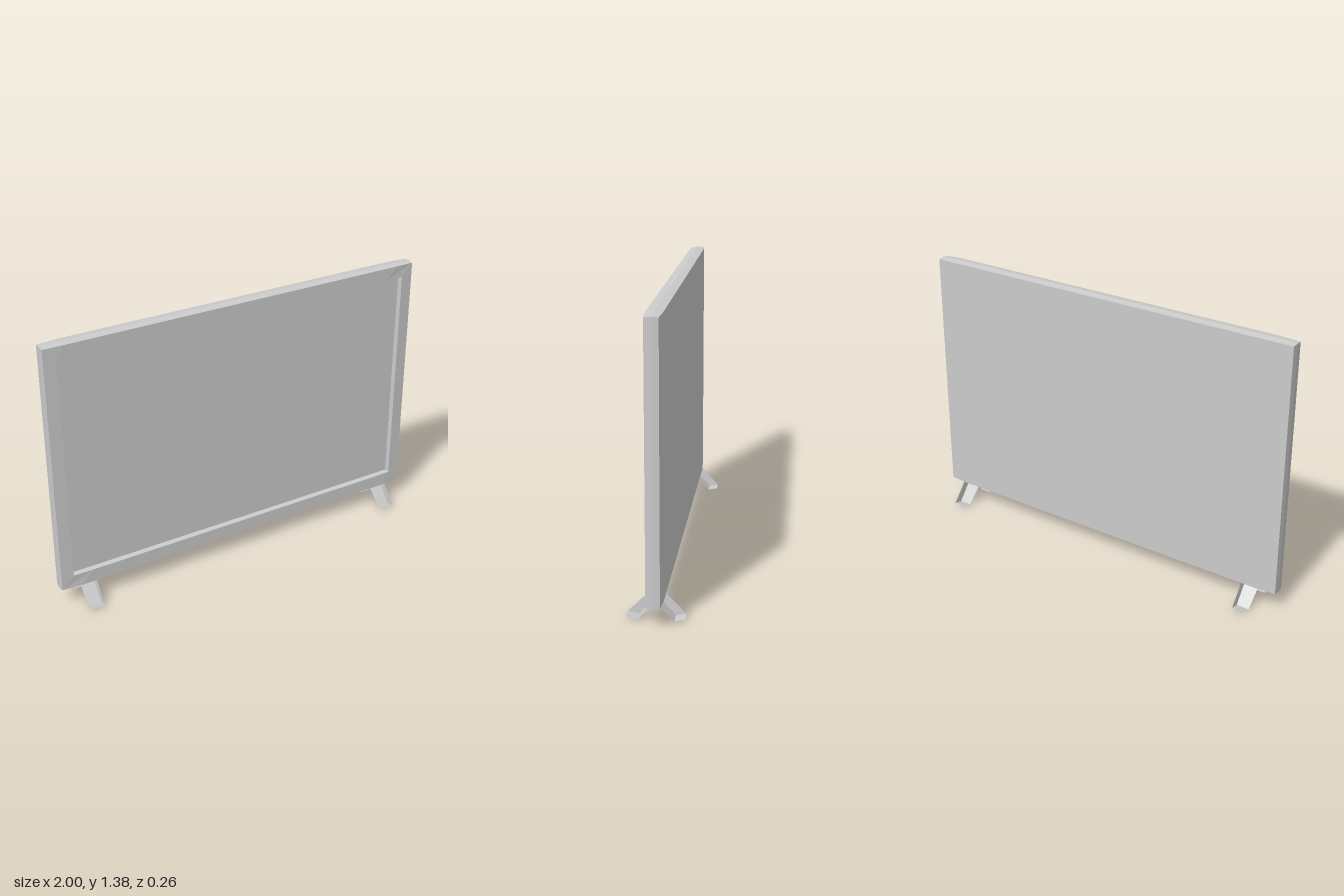
import * as THREE from 'three';

const material = new THREE.MeshStandardMaterial({ color: 0xcccccc, flatShading: true });

function meshFrom(points, quads, name) {
  const position = [];
  for (const [a, b, c, d] of quads)
    for (const i of [a, b, c, a, c, d]) position.push(...points[i]);
  const geometry = new THREE.BufferGeometry();
  geometry.setAttribute('position', new THREE.Float32BufferAttribute(position, 3));
  geometry.computeVertexNormals();
  const mesh = new THREE.Mesh(geometry, material);
  mesh.name = name;
  return mesh;
}

// Eight-point rectangular loop, counter-clockwise from the front;
// the corners sit at zEnd, the points near x = +-0.9 at zMid.
function ring(halfWidth, bottom, top, zMid, zEnd, bulge = 0) {
  const inner = halfWidth - 0.1;
  return [
    [-halfWidth, bottom, zEnd], [-inner, bottom - bulge, zMid],
    [inner, bottom - bulge, zMid], [halfWidth, bottom, zEnd],
    [halfWidth, top, zEnd], [inner, top + bulge, zMid],
    [-inner, top + bulge, zMid], [-halfWidth, top, zEnd],
  ];
}

// Thin panel with a recessed screen, lofted from the back to the screen
function createPanel() {
  const rings = [
    ring(0.998, 0.1, 1.368, -0.038, -0.032, 0.002), // back edge
    ring(1, 0.094, 1.371, 0, 0, 0.004),             // ridge around the rim
    ring(0.998, 0.1, 1.368, 0.037, 0.031, 0.002),   // front edge
    ring(0.936, 0.165, 1.305, 0.037, 0.035),        // bezel opening
    ring(0.932, 0.168, 1.302, 0.01, 0.01),          // screen edge
  ];
  const points = rings.flat();
  const quads = [];
  for (let r = 0; r < rings.length - 1; r++)
    for (let i = 0; i < 8; i++) {
      const a = r * 8 + i, b = r * 8 + (i + 1) % 8;
      quads.push([a, b, b + 8, a + 8]);
    }
  const last = (rings.length - 1) * 8;
  const screenQuads = [];
  for (const q of [[0, 1, 6, 7], [1, 2, 5, 6], [2, 3, 4, 5]]) {
    screenQuads.push(q.map(i => i + last));
    quads.push([...q].reverse()); // back cover
  }
  const group = new THREE.Group();
  group.name = 'panel';
  group.add(meshFrom(points, quads, 'casing'), meshFrom(points, screenQuads, 'screen'));
  return group;
}

// Splayed, slightly tapered leg leaning to +z
function createLeg(name) {
  const profile = [[0, 0.09], [0.083, 0], [0.13, 0.01], [0.036, 0.107]]; // z, y
  const half = [0.037, 0.032, 0.032, 0.037];
  const points = [-1, 1].flatMap(s => profile.map(([z, y], i) => [s * half[i], y, z]));
  const quads = [[3, 2, 1, 0], [4, 5, 6, 7]];
  for (let i = 0; i < 4; i++) {
    const j = (i + 1) % 4;
    quads.push([i, j, j + 4, i + 4]);
  }
  return meshFrom(points, quads, name);
}

export function createModel() {
  const model = new THREE.Group();
  model.name = 'flatScreen';
  model.add(createPanel());

  // A pair of legs forms an inverted V under each end
  for (const [x, name] of [[-0.859, 'rightStand'], [0.873, 'leftStand']]) {
    const stand = new THREE.Group();
    stand.name = name;
    stand.position.x = x;
    const back = createLeg('backLeg');
    back.rotation.y = Math.PI;
    stand.add(createLeg('frontLeg'), back);
    model.add(stand);
  }
  return model;
}
